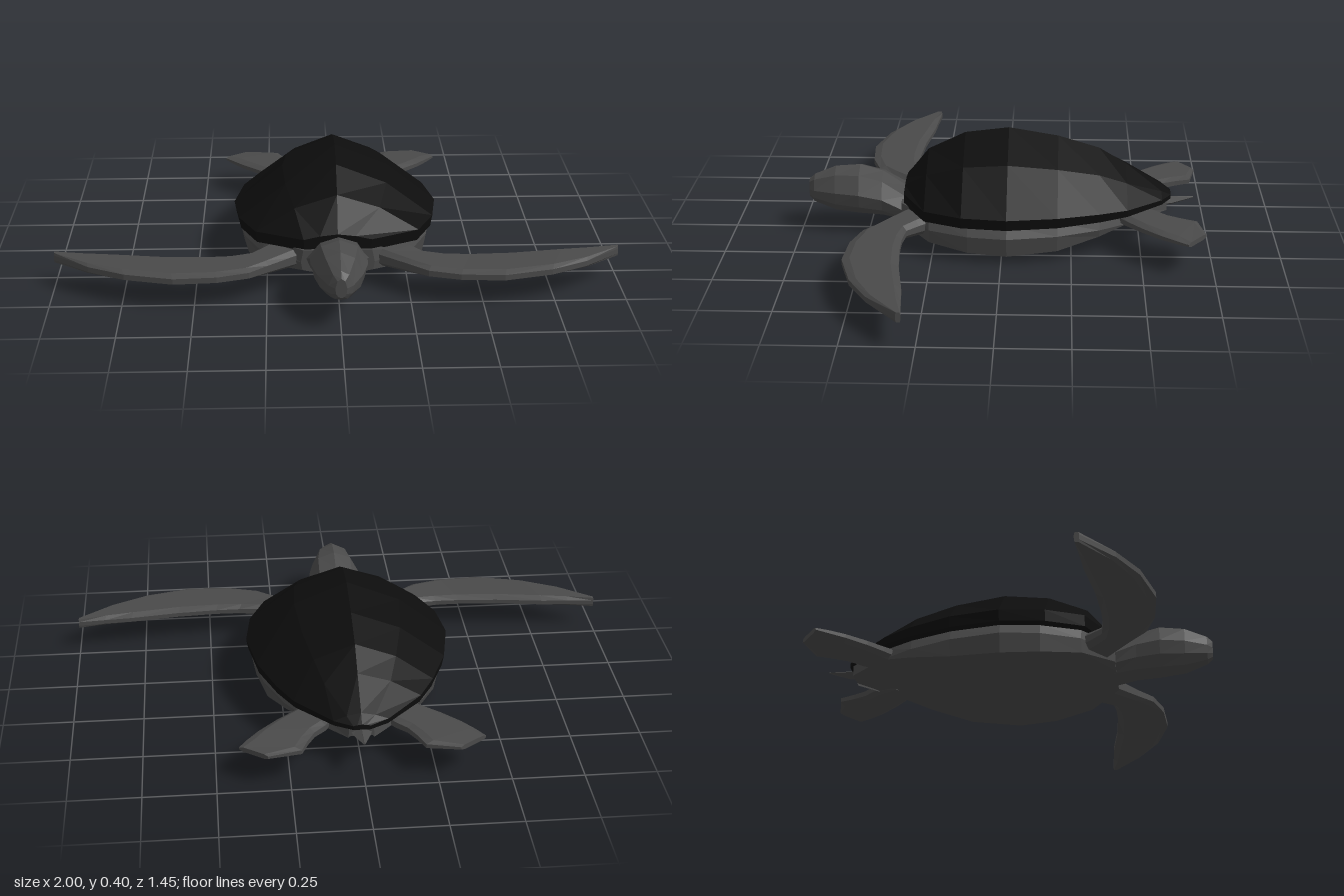
import * as THREE from 'three';

const skin = new THREE.MeshStandardMaterial({ color: 0x4a4a4a, flatShading: true });
const shellMat = new THREE.MeshStandardMaterial({ color: 0x0d0d0d, flatShading: true });

// Skin closed rings of [x, y, z] points, cap both ends, and face the surface outwards
function loft(name, rings, material) {
  const n = rings[0].length;
  const tris = [];
  for (let i = 0; i < rings.length - 1; i++) {
    for (let j = 0; j < n; j++) {
      const k = (j + 1) % n;
      const a = rings[i][j], b = rings[i][k], c = rings[i + 1][k], d = rings[i + 1][j];
      tris.push([a, b, c], [a, c, d]);
    }
  }
  const last = rings[rings.length - 1];
  for (let j = 1; j < n - 1; j++) {
    tris.push([rings[0][0], rings[0][j + 1], rings[0][j]], [last[0], last[j], last[j + 1]]);
  }
  const volume = tris.reduce((sum, [a, b, c]) => {
    const [p, q, r] = [a, b, c].map((v) => new THREE.Vector3(...v));
    return sum + p.dot(q.cross(r));
  }, 0);
  if (volume < 0) tris.forEach((t) => t.reverse());
  const geometry = new THREE.BufferGeometry();
  geometry.setAttribute('position', new THREE.Float32BufferAttribute(tris.flat(2), 3));
  geometry.computeVertexNormals();
  const mesh = new THREE.Mesh(geometry, material);
  mesh.name = name;
  return mesh;
}

// Complete a right-left symmetric ring at depth z; half runs from top centre to bottom centre
function mirrorRing(half, z) {
  const back = half.slice(1, -1).reverse().map(([x, y]) => [-x, y]);
  return [...half, ...back].map(([x, y]) => [x, y, z]);
}

// Flat paddle: each row is leading x, z, trailing x, z, half thickness
function flipper(name, rows, y, side) {
  const rings = rows.map(([lx, lz, tx, tz, h]) => {
    const at = (t, dy) => [side * (lx + (tx - lx) * t), y + dy, lz + (tz - lz) * t];
    return [at(0, -h * 0.5), at(0, h * 0.5), at(0.14, h), at(0.86, h),
      at(1, h * 0.4), at(1, -h * 0.4), at(0.86, -h), at(0.14, -h)];
  });
  return loft(name, rings, skin);
}

export function createModel() {
  const turtle = new THREE.Group();
  turtle.name = 'seaTurtle';

  // Domed shell: z, half width, ridge height, rim height
  const shell = [
    [0.36, 0.12, 0.20, 0.18], [0.275, 0.29, 0.315, 0.18], [0.14, 0.35, 0.38, 0.18],
    [-0.02, 0.37, 0.40, 0.18], [-0.2, 0.338, 0.37, 0.178], [-0.35, 0.278, 0.325, 0.172],
    [-0.45, 0.222, 0.265, 0.166], [-0.58, 0.095, 0.185, 0.158], [-0.615, 0.03, 0.16, 0.155],
  ].map(([z, w, top, rim]) => mirrorRing(
    [[0, top], [w * 0.52, rim + (top - rim) * 0.64], [w, rim], [w * 0.98, 0.14], [0, 0.14]], z));
  turtle.add(loft('shell', shell, shellMat));

  // Body and belly: z, half width, lower side height, belly height
  const body = [
    [0.37, 0.13, 0.07, 0.052], [0.26, 0.27, 0.05, 0.04], [0.12, 0.33, 0.035, 0.003],
    [-0.02, 0.35, 0.03, 0], [-0.2, 0.315, 0.04, 0.012], [-0.35, 0.25, 0.072, 0.055],
    [-0.47, 0.17, 0.1, 0.092], [-0.6, 0.045, 0.108, 0.1],
  ].map(([z, w, low, belly]) => mirrorRing(
    [[0, 0.145], [w * 0.93, 0.145], [w, 0.1], [w * 0.96, low], [w * 0.5, belly + 0.006], [0, belly]], z));
  turtle.add(loft('body', body, skin));

  // Neck and head: z, half width, top, bottom
  const head = [
    [0.28, 0.12, 0.17, 0.06], [0.36, 0.112, 0.168, 0.05], [0.445, 0.1, 0.225, 0.066],
    [0.53, 0.098, 0.25, 0.072], [0.62, 0.078, 0.243, 0.08], [0.7, 0.042, 0.21, 0.105],
    [0.72, 0.02, 0.19, 0.12],
  ].map(([z, w, top, low]) => {
    const h = top - low;
    return mirrorRing([[0, top], [w * 0.64, top - h * 0.13], [w, low + h * 0.5],
      [w * 0.88, low + h * 0.22], [w * 0.5, low + 0.004], [0, low]], z);
  });
  turtle.add(loft('head', head, skin));

  // Tail
  const tail = [[-0.56, 0.045, 0.14, 0.1], [-0.62, 0.03, 0.138, 0.106], [-0.7, 0.003, 0.138, 0.133]]
    .map(([z, w, top, low]) => mirrorRing([[0, top], [w, (top + low) / 2], [0, low]], z));
  turtle.add(loft('tail', tail, skin));

  // Flippers, mirrored
  const front = [
    [0.1, 0.32, 0.22, 0.24, 0.035], [0.17, 0.375, 0.27, 0.295, 0.03], [0.245, 0.435, 0.31, 0.335, 0.025],
    [0.31, 0.49, 0.385, 0.345, 0.021], [0.42, 0.525, 0.475, 0.345, 0.02], [0.57, 0.535, 0.62, 0.335, 0.02],
    [0.74, 0.49, 0.8, 0.31, 0.02], [0.87, 0.42, 0.9, 0.303, 0.019], [1, 0.312, 1, 0.295, 0.018],
  ];
  const rear = [
    [0.07, -0.47, 0.16, -0.4, 0.024], [0.12, -0.555, 0.225, -0.45, 0.022], [0.16, -0.595, 0.285, -0.5, 0.02],
    [0.187, -0.645, 0.35, -0.565, 0.018], [0.21, -0.7, 0.39, -0.615, 0.015], [0.325, -0.725, 0.42, -0.657, 0.009],
  ];
  for (const [label, side] of [['left', 1], ['right', -1]]) {
    turtle.add(flipper(label + 'FrontFlipper', front, 0.104, side));
    turtle.add(flipper(label + 'RearFlipper', rear, 0.116, side));
  }
  return turtle;
}
